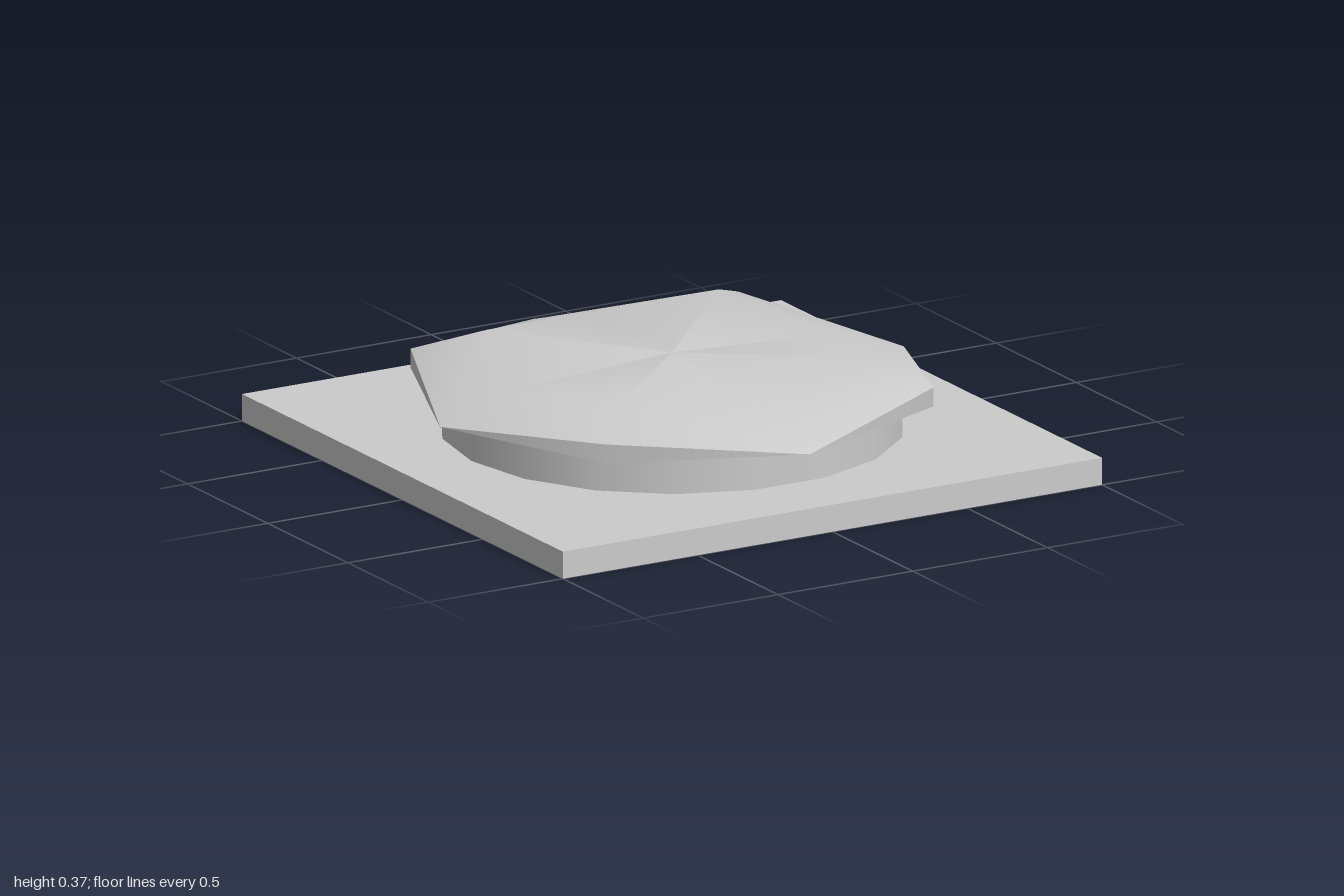
import * as THREE from 'three';

const SIDES = 8;

// Lofts rings of points, listed from the top centre down to the bottom rim
function loft(rings) {
  const pos = [];
  const index = [];
  for (const { r, tip, corner } of rings) {
    for (let i = 0; i < SIDES; i++) {
      const a = (i / SIDES) * Math.PI * 2;
      pos.push(r * Math.sin(a), i % 2 ? corner : tip, r * Math.cos(a));
    }
  }
  for (let k = 0; k < rings.length - 1; k++) {
    for (let i = 0; i < SIDES; i++) {
      const j = (i + 1) % SIDES;
      const a = k * SIDES + i, b = k * SIDES + j;
      const c = a + SIDES, d = b + SIDES;
      if (rings[k].r > 0) index.push(a, d, b);
      if (rings[k + 1].r > 0) index.push(a, c, d);
    }
  }
  const geo = new THREE.BufferGeometry();
  geo.setAttribute('position', new THREE.Float32BufferAttribute(pos, 3));
  geo.setIndex(index);
  geo.computeVertexNormals();
  return geo;
}

export function createModel() {
  const group = new THREE.Group();
  const material = new THREE.MeshStandardMaterial({ color: 0xcccccc, side: THREE.DoubleSide });
  const add = (name, geo, y = 0) => {
    const mesh = new THREE.Mesh(geo, material);
    mesh.name = name;
    mesh.position.y = y;
    group.add(mesh);
    return mesh;
  };

  // Square base slab
  add('baseSlab', new THREE.BoxGeometry(2, 0.09, 2), 0.045);

  // Low round drum
  const drum = add('drum', new THREE.CylinderGeometry(0.745, 0.745, 0.13, 18), 0.155);
  drum.rotation.y = Math.PI / 2;

  // Eight-sided cap: a sunken centre, four raised corners, four low tips
  add('cap', loft([
    { r: 0, tip: 0.335, corner: 0.335 },
    { r: 0.608, tip: 0.303, corner: 0.365 },
    { r: 0.86, tip: 0.22, corner: 0.283 },
  ]));

  // Thin skirt closing the raised corners down to the flat underside
  add('capSkirt', loft([
    { r: 0.86, tip: 0.221, corner: 0.283 },
    { r: 0.86, tip: 0.22, corner: 0.22 },
  ]));

  // Flat underside of the cap
  const underside = add('capUnderside', new THREE.CircleGeometry(0.86, SIDES), 0.22);
  underside.rotation.x = Math.PI / 2;

  return group;
}
